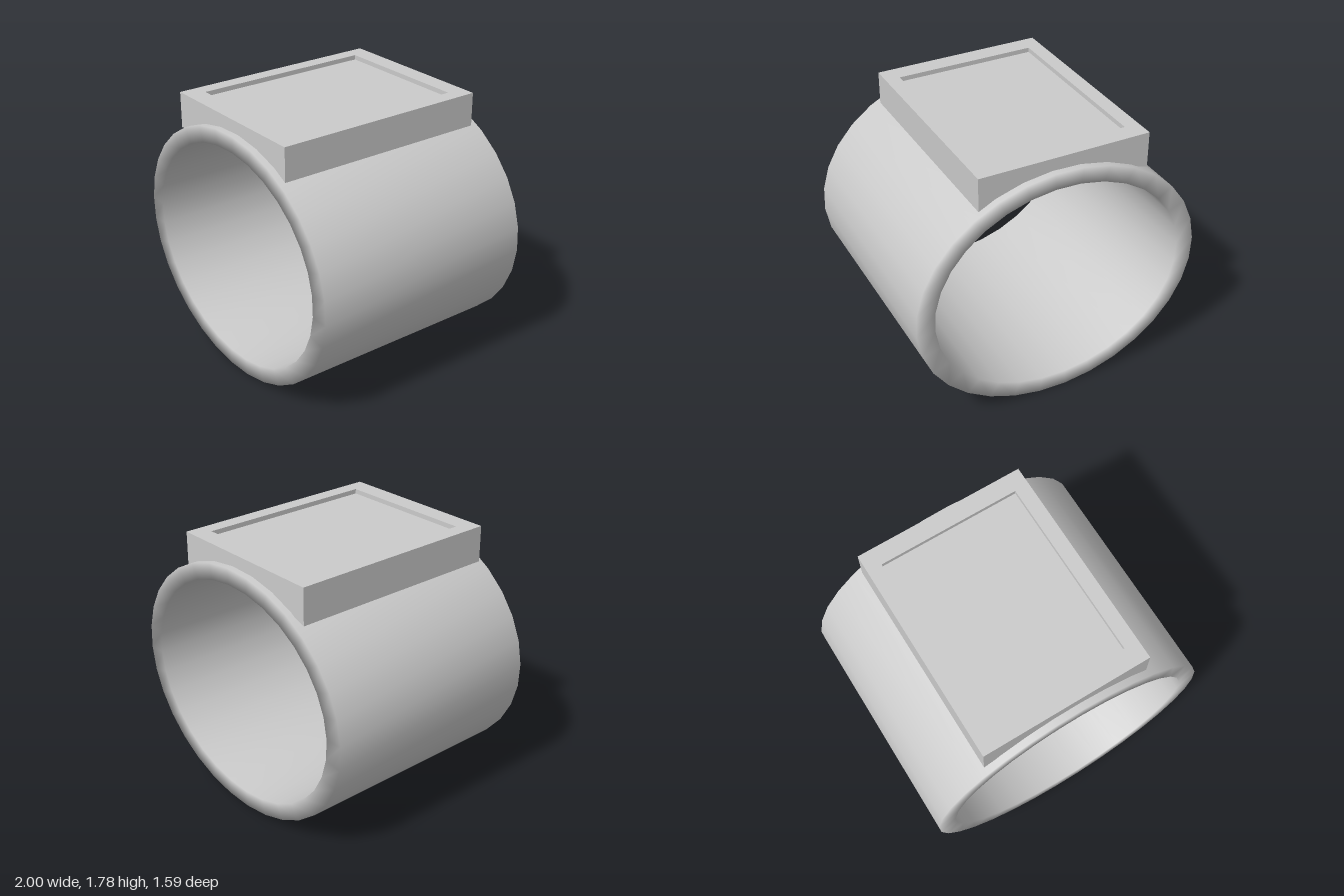
import * as THREE from 'three';

const CENTRE_Y = 0.847;

function part(geometry, name, material) {
  const mesh = new THREE.Mesh(geometry, material);
  mesh.name = name;
  return mesh;
}

// Oval band: a rectangular section swept round an ellipse, with shared
// vertices so the shading rolls softly over both rims.
function bandGeometry() {
  const segments = 32, phase = -0.06;
  const section = [ // rx, ry, z
    [1, 0.847, 0.795], [1, 0.847, -0.795],
    [0.875, 0.738, -0.795], [0.875, 0.738, 0.795],
  ];
  const positions = [], index = [];
  for (let i = 0; i < segments; i++) {
    const a = phase + (i / segments) * Math.PI * 2;
    for (const [rx, ry, z] of section) {
      positions.push(rx * Math.cos(a), CENTRE_Y + ry * Math.sin(a), z);
    }
    for (let k = 0; k < 4; k++) {
      const n = (k + 1) % 4, j = (i + 1) % segments;
      const p = i * 4 + k, q = i * 4 + n, r = j * 4 + n, s = j * 4 + k;
      index.push(p, q, r, p, r, s);
    }
  }
  const g = new THREE.BufferGeometry();
  g.setAttribute('position', new THREE.Float32BufferAttribute(positions, 3));
  g.setIndex(index);
  g.computeVertexNormals();
  return g;
}

// Solid part of the case, with its underside arched to sit in the band
function caseGeometry(left, right, floorY, halfDepth) {
  const s = new THREE.Shape();
  s.moveTo(left, floorY);
  s.lineTo(left, 1.53);
  s.quadraticCurveTo(-0.02, 1.745, right, 1.54);
  s.lineTo(right, floorY);
  s.closePath();
  return new THREE.ExtrudeGeometry(s, { depth: halfDepth * 2, bevelEnabled: false, curveSegments: 12 })
    .translate(0, 0, -halfDepth);
}

function rectangle(target, x0, x1, y0, y1) {
  target.moveTo(x0, y0);
  target.lineTo(x1, y0);
  target.lineTo(x1, y1);
  target.lineTo(x0, y1);
  target.closePath();
  return target;
}

// Raised border round the sunken face
function borderGeometry(left, right, floorY, topY, halfDepth) {
  const s = rectangle(new THREE.Shape(), left, right, -halfDepth, halfDepth);
  s.holes.push(rectangle(new THREE.Path(), -0.52, 0.45, -0.62, 0.625));
  return new THREE.ExtrudeGeometry(s, { depth: topY - floorY, bevelEnabled: false })
    .rotateX(-Math.PI / 2).translate(0, floorY, 0);
}

export function createModel() {
  const group = new THREE.Group();
  const grey = new THREE.MeshStandardMaterial({ color: 0xcccccc });
  const left = -0.62, right = 0.55, floorY = 1.745, topY = 1.777, halfDepth = 0.75;

  group.add(part(bandGeometry(), 'band', grey));

  const top = new THREE.Group();
  top.name = 'case';
  top.add(part(caseGeometry(left, right, floorY, halfDepth), 'caseBody', grey));
  top.add(part(borderGeometry(left, right, floorY, topY, halfDepth), 'caseBorder', grey));
  group.add(top);

  return group;
}
